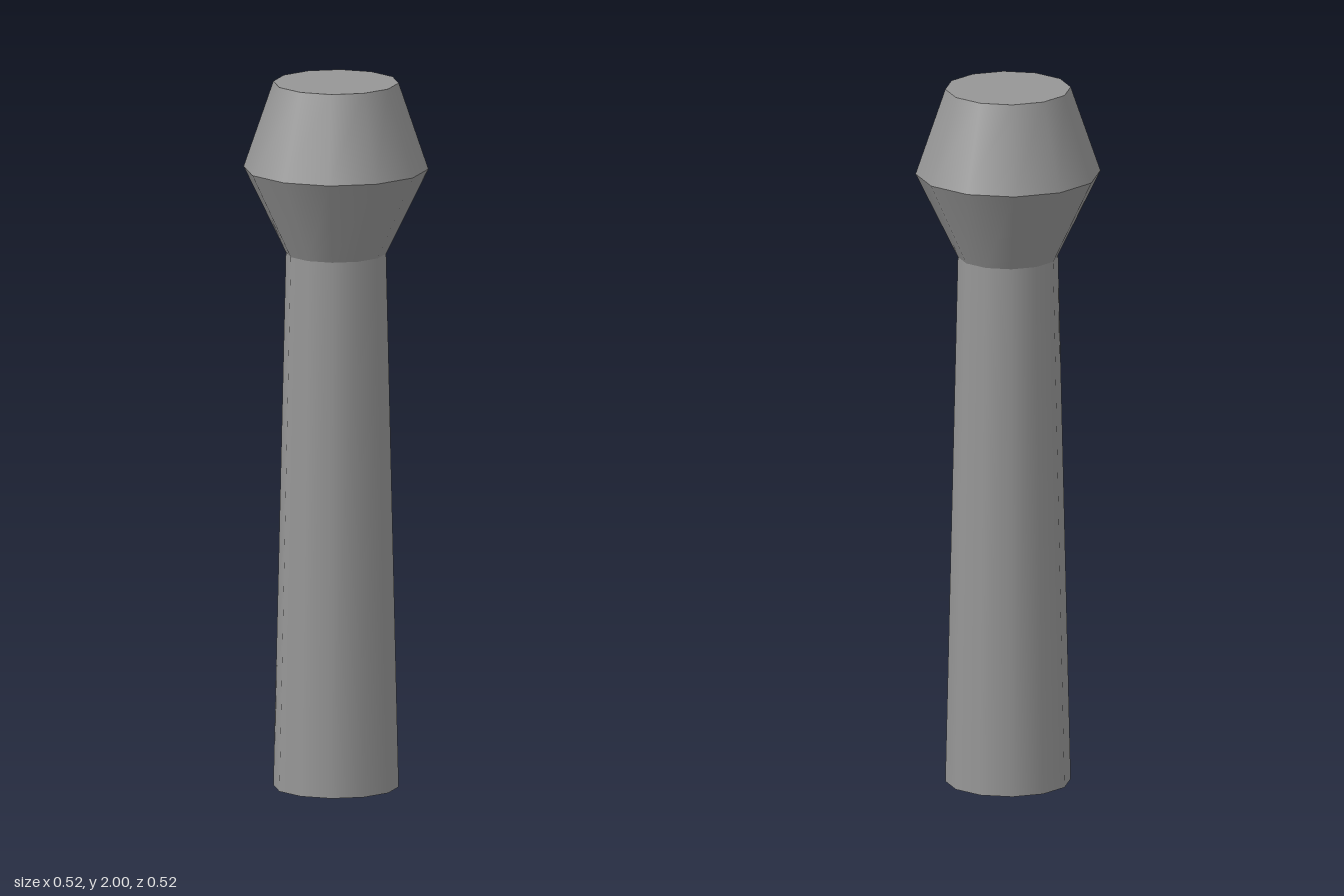
import * as THREE from 'three';

export function createModel() {
  const model = new THREE.Group();
  model.name = 'post';
  const grey = new THREE.MeshStandardMaterial({ color: 0x969696 });
  grey.name = 'grey';

  // Smooth twelve-sided tapered section between two heights
  function section(name, y0, r0, y1, r1) {
    const geometry = new THREE.CylinderGeometry(r1, r0, y1 - y0, 12, 1, true);
    const mesh = new THREE.Mesh(geometry, grey);
    mesh.name = name;
    mesh.position.y = (y0 + y1) / 2;
    model.add(mesh);
  }

  // Flat end disc, facing up or down
  function cap(name, y, r, up) {
    const geometry = new THREE.CircleGeometry(r, 12);
    geometry.rotateX(up ? -Math.PI / 2 : Math.PI / 2);
    const mesh = new THREE.Mesh(geometry, grey);
    mesh.name = name;
    mesh.position.y = y;
    model.add(mesh);
  }

  section('shaft', 0, 0.175, 1.515, 0.14);
  section('headFlare', 1.515, 0.14, 1.757, 0.258);
  section('headTaper', 1.757, 0.258, 2, 0.175);
  cap('topCap', 2, 0.175, true);
  cap('bottomCap', 0, 0.175, false);

  return model;
}
